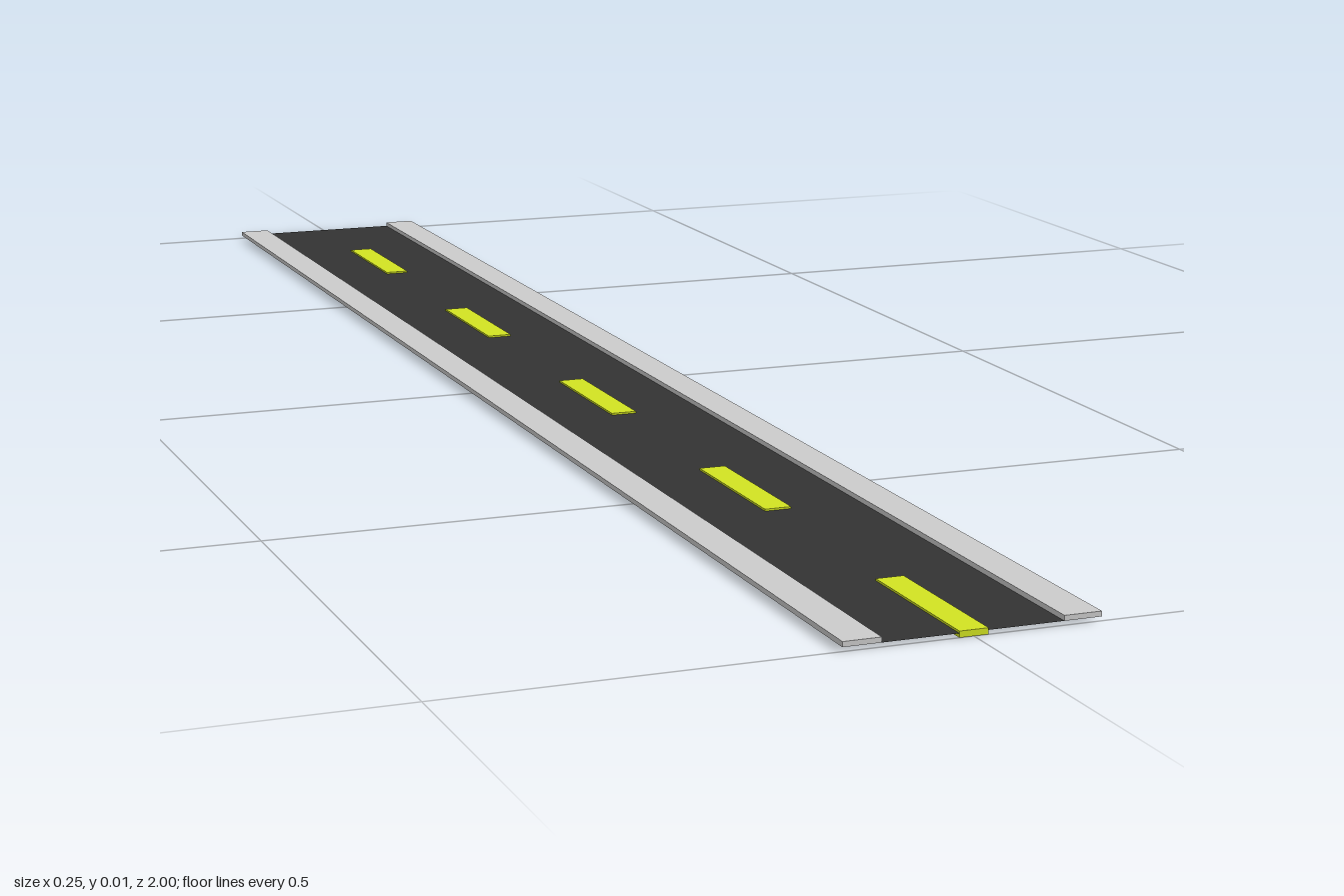
import * as THREE from 'three';

const LENGTH = 2;
const ROAD_HALF = 0.088;   // half width of the asphalt
const OUTER_HALF = 0.125;  // half width including the kerbs
const UNIT = LENGTH / 12;  // kerb slab and dash length

export function createModel() {
  const road = new THREE.Group();
  road.name = 'road';

  const asphalt = new THREE.MeshStandardMaterial({ color: 0x333333, side: THREE.DoubleSide });
  const paint = new THREE.MeshStandardMaterial({ color: 0xd2e322 });
  const concrete = new THREE.MeshStandardMaterial({ color: 0xcccccc });

  // Box spanning the given ranges
  function addBox(name, material, x0, x1, y0, y1, z0, z1) {
    const mesh = new THREE.Mesh(new THREE.BoxGeometry(x1 - x0, y1 - y0, z1 - z0), material);
    mesh.position.set((x0 + x1) / 2, (y0 + y1) / 2, (z0 + z1) / 2);
    mesh.name = name;
    road.add(mesh);
  }

  // Thin asphalt sheet
  const surface = new THREE.Mesh(new THREE.PlaneGeometry(ROAD_HALF * 2, LENGTH), asphalt);
  surface.name = 'roadSurface';
  surface.rotation.x = -Math.PI / 2;
  surface.position.y = 0.004;
  road.add(surface);

  // Dashed centre line, set through the sheet
  for (let i = 0; i < 5; i++) {
    const z = (i - 2) * 2.5 * UNIT;
    addBox('centreDash', paint, -0.014, 0.014, 0, 0.006, z, z + UNIT);
  }

  // Right kerb in one piece, left kerb in slabs
  addBox('rightKerb', concrete, -OUTER_HALF, -ROAD_HALF, 0.004, 0.009, -1, 1);
  for (let i = 0; i < 12; i++) {
    const z = -1 + i * UNIT;
    addBox('leftKerbSlab', concrete, ROAD_HALF, OUTER_HALF, 0.004, 0.009, z, z + UNIT);
  }

  return road;
}
